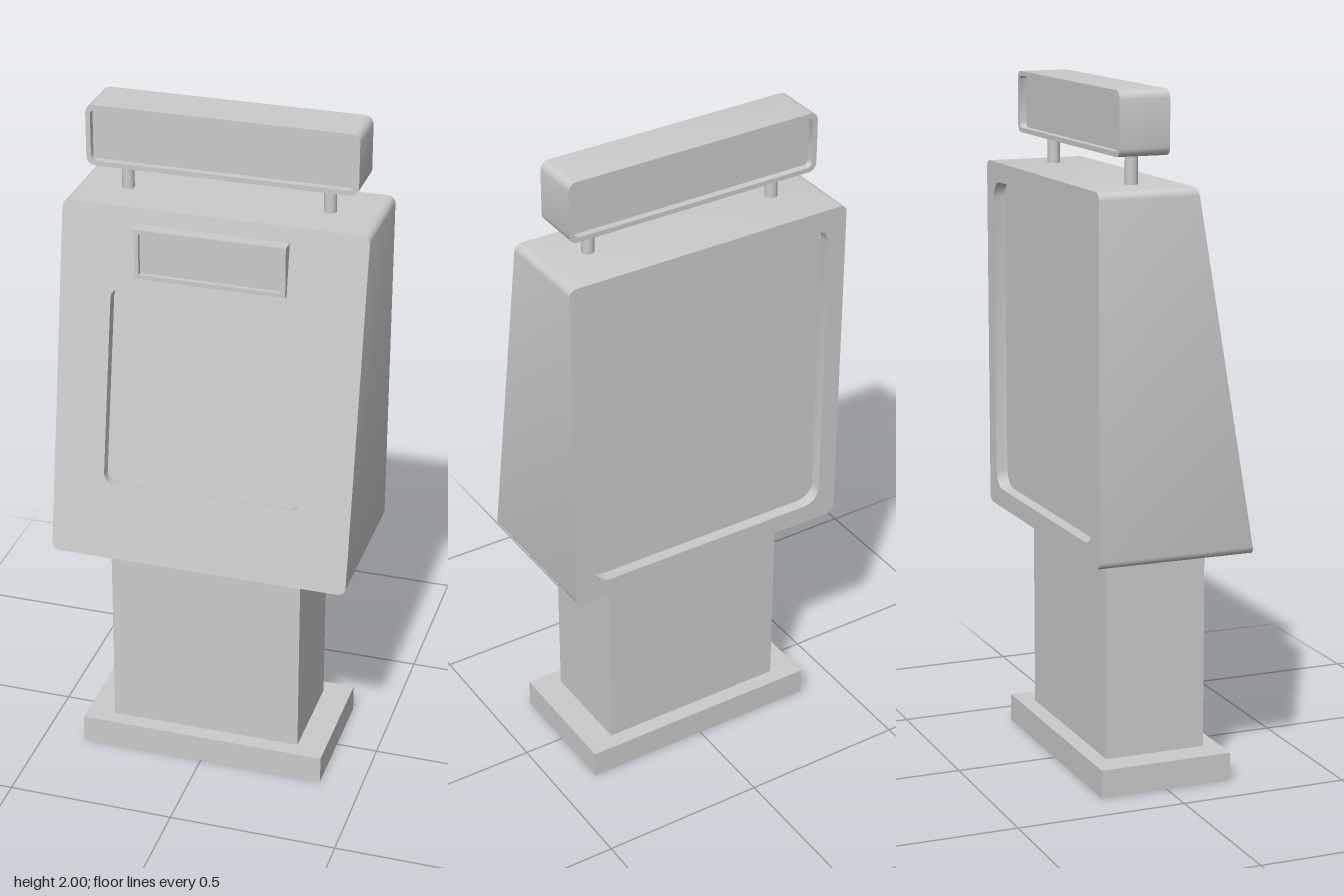
import * as THREE from 'three';
import { toCreasedNormals } from 'three/addons/utils/BufferGeometryUtils.js';

const material = new THREE.MeshStandardMaterial({ color: 0xcccccc });

// Rounded rectangle as a counter-clockwise ring; z may be a number or a function of y
function ring(halfW, y0, y1, r, z, steps = 4) {
  const pts = [];
  const corners = [[halfW - r, y1 - r], [r - halfW, y1 - r], [r - halfW, y0 + r], [halfW - r, y0 + r]];
  corners.forEach(([cx, cy], c) => {
    for (let i = 0; i <= steps; i++) {
      const a = (c + (steps ? i / steps : 0.5)) * Math.PI / 2;
      const k = steps ? r : 0;
      const x = cx + k * Math.cos(a), y = cy + k * Math.sin(a);
      pts.push(new THREE.Vector3(x, y, typeof z === 'function' ? z(y) : z));
    }
  });
  return pts;
}

const shift = (pts, v) => pts.map(p => p.clone().add(v));

// Closed skin through rings listed from the front centre outward and round to the back centre
function skin(rings) {
  const pos = [];
  const tri = (...ps) => ps.forEach(p => pos.push(p.x, p.y, p.z));
  const n = rings[0].length;
  const middle = r => r.reduce((s, p) => s.add(p), new THREE.Vector3()).divideScalar(n);
  const first = rings[0], last = rings[rings.length - 1];
  const front = middle(first), back = middle(last);
  for (let i = 0; i < n; i++) {
    const j = (i + 1) % n;
    tri(front, first[i], first[j]);
    tri(back, last[j], last[i]);
    for (let k = 0; k + 1 < rings.length; k++) {
      const a = rings[k], b = rings[k + 1];
      tri(a[i], b[i], b[j]);
      tri(a[i], b[j], a[j]);
    }
  }
  const geo = new THREE.BufferGeometry();
  geo.setAttribute('position', new THREE.Float32BufferAttribute(pos, 3));
  return toCreasedNormals(geo, Math.PI / 5);
}

export function createModel() {
  const group = new THREE.Group();
  const add = (name, geo, x = 0, y = 0, z = 0) => {
    const mesh = new THREE.Mesh(geo, material);
    mesh.name = name;
    mesh.position.set(x, y, z);
    group.add(mesh);
  };

  // Foot and column
  add('base', new THREE.BoxGeometry(0.75, 0.083, 0.4), 0, 0.0415, 0);
  add('column', new THREE.BoxGeometry(0.58, 0.627, 0.304), 0, 0.3865, 0);

  // Cabinet: sloping front with a recessed screen, recessed panel at the back
  const slope = (0.235 - 0.057) / (1.735 - 0.69);
  const frontZ = y => 0.235 - (y - 0.69) * slope;
  const inward = new THREE.Vector3(0, -slope, -1).normalize().multiplyScalar(0.033);
  const screenRim = ring(0.293, 0.918, 1.498, 0.03, frontZ);
  add('cabinet', skin([
    shift(screenRim, inward),
    screenRim,
    ring(0.445, 0.69, 1.735, 0.022, frontZ),
    ring(0.445, 0.69, 1.735, 0.022, -0.235),
    ring(0.388, 0.747, 1.678, 0.05, -0.235),
    ring(0.388, 0.747, 1.678, 0.05, -0.2),
  ]));

  // Small framed display above the screen
  add('displayBox', skin([
    ring(0.207, 1.553, 1.677, 0, 0.092, 0),
    ring(0.207, 1.553, 1.677, 0, 0.105, 0),
    ring(0.22, 1.54, 1.69, 0, 0.105, 0),
    ring(0.22, 1.54, 1.69, 0, 0.04, 0),
  ]));

  // Header sign, recessed on both faces, on two posts
  const header = (inset, r, z) => ring(0.394 - inset, 1.82 + inset, 2 - inset, r, z);
  add('headerSign', skin([
    header(0.014, 0.016, -0.027),
    header(0.014, 0.016, -0.006),
    header(0, 0.024, -0.006),
    header(0, 0.024, -0.154),
    header(0.014, 0.016, -0.154),
    header(0.014, 0.016, -0.133),
  ]));
  for (const side of [-1, 1]) {
    add(side > 0 ? 'leftPost' : 'rightPost',
      new THREE.CylinderGeometry(0.018, 0.018, 0.11, 20), side * 0.296, 1.777, -0.079);
  }
  return group;
}
